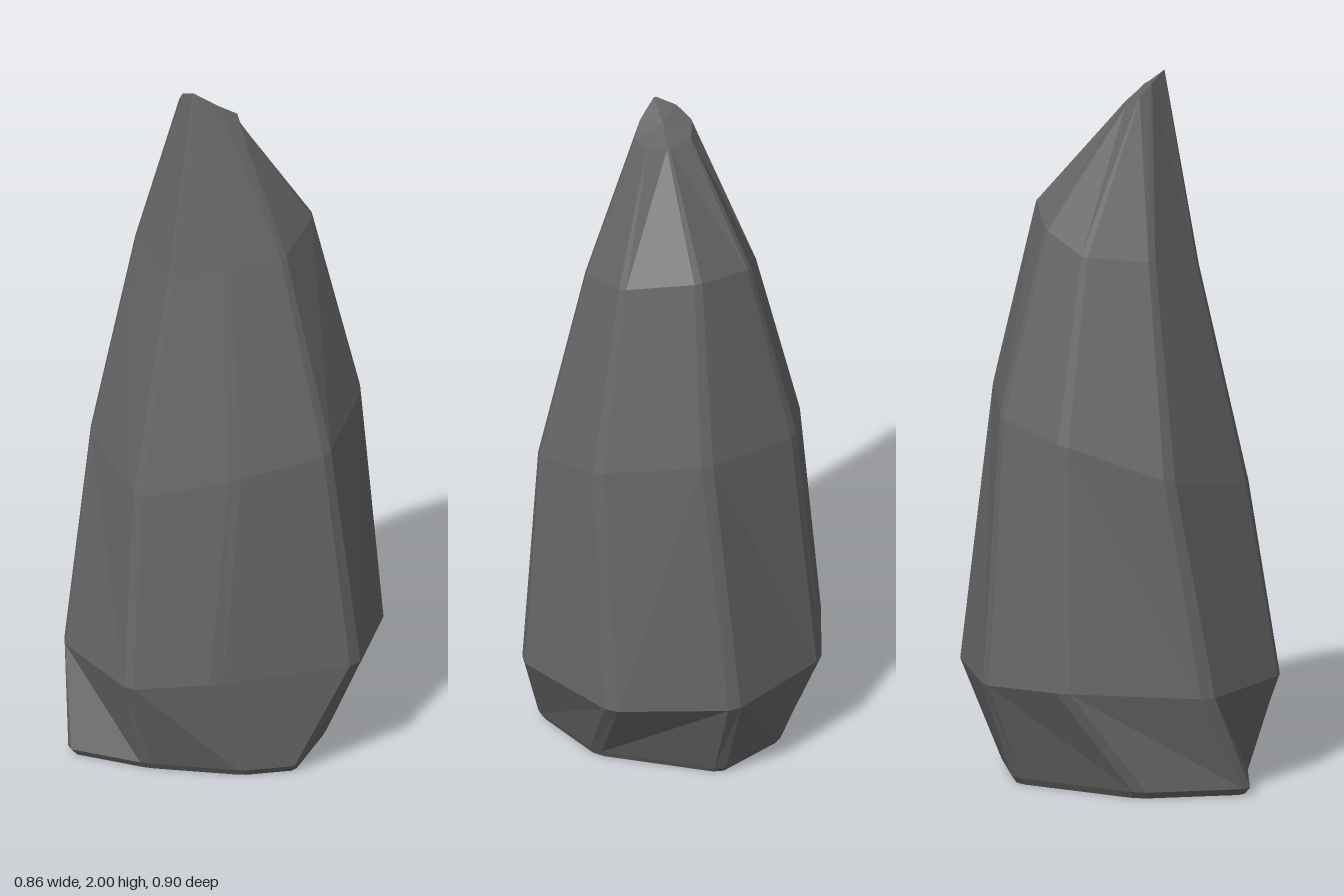
import * as THREE from 'three';

// Each ring holds eight corners [x, y, z], from the back round past the left side to the front.
const RINGS = [
  // base edge
  [[-.03, .02, -.335], [.26, .02, -.11], [.325, .02, .13], [.22, .02, .24], [-.03, .02, .36], [-.26, .02, .41], [-.365, .02, .12], [-.25, .02, -.26]],
  // widest belt
  [[-.015, .3, -.457], [.305, .3, -.32], [.437, .31, -.005], [.17, .3, .31], [-.02, .29, .455], [-.345, .29, .315], [-.437, .31, -.09], [-.335, .3, -.325]],
  // middle
  [[.03, 1.08, -.37], [.3, 1.04, -.22], [.368, .96, .04], [.18, .9, .225], [-.05, .84, .372], [-.335, .9, .2], [-.37, 1, -.1], [-.275, 1.05, -.29]],
  // shoulder
  [[0, 1.61, -.243], [.19, 1.58, -.14], [.22, 1.53, .045], [.1, 1.5, .15], [-.04, 1.45, .227], [-.23, 1.5, .13], [-.255, 1.51, -.06], [-.185, 1.57, -.18]],
  // slanted tip
  [[-.02, 1.9, .01], [.04, 1.91, .025], [.065, 1.935, .05], [.03, 1.965, .09], [-.03, 2.003, .127], [-.085, 1.975, .1], [-.118, 1.935, .07], [-.095, 1.905, .025]],
];

// Cut every corner into a narrow bevel.
function bevelRing(corners, amount) {
  const pts = corners.map(c => new THREE.Vector3(...c));
  const n = pts.length;
  return pts.flatMap((p, i) => [
    p.clone().lerp(pts[(i + n - 1) % n], amount),
    p.clone().lerp(pts[(i + 1) % n], amount),
  ]);
}

function rockGeometry() {
  const rings = RINGS.map(r => bevelRing(r, 0.06));
  // slightly inset underside gives the base a small bevel
  rings.unshift(rings[0].map(p => new THREE.Vector3(p.x * 0.96, 0, p.z * 0.96)));
  const n = rings[0].length;
  const pos = [];
  const tri = (...pts) => pts.forEach(p => pos.push(p.x, p.y, p.z));

  // side facets; the back left corner is split along the other diagonal
  for (let r = 0; r + 1 < rings.length; r++) {
    for (let i = 0; i < n; i++) {
      const j = (i + 1) % n;
      const a = rings[r][i], b = rings[r][j], c = rings[r + 1][j], d = rings[r + 1][i];
      if (i < n / 4) {
        tri(a, d, b);
        tri(b, d, c);
      } else {
        tri(a, d, c);
        tri(a, c, b);
      }
    }
  }

  // underside and tip
  const centre = ring => ring.reduce((s, p) => s.add(p), new THREE.Vector3()).divideScalar(n);
  const low = rings[0], high = rings[rings.length - 1];
  const lowMid = centre(low), highMid = centre(high);
  highMid.y += 0.01;
  for (let i = 0; i < n; i++) {
    const j = (i + 1) % n;
    tri(lowMid, low[i], low[j]);
    tri(highMid, high[j], high[i]);
  }

  const geo = new THREE.BufferGeometry();
  geo.setAttribute('position', new THREE.Float32BufferAttribute(pos, 3));
  geo.computeVertexNormals();
  return geo;
}

export function createModel() {
  const group = new THREE.Group();
  group.name = 'standingRock';
  const stone = new THREE.MeshStandardMaterial({ color: 0x666666, flatShading: true });
  stone.name = 'grey stone';
  const rock = new THREE.Mesh(rockGeometry(), stone);
  rock.name = 'rock';
  group.add(rock);
  return group;
}
